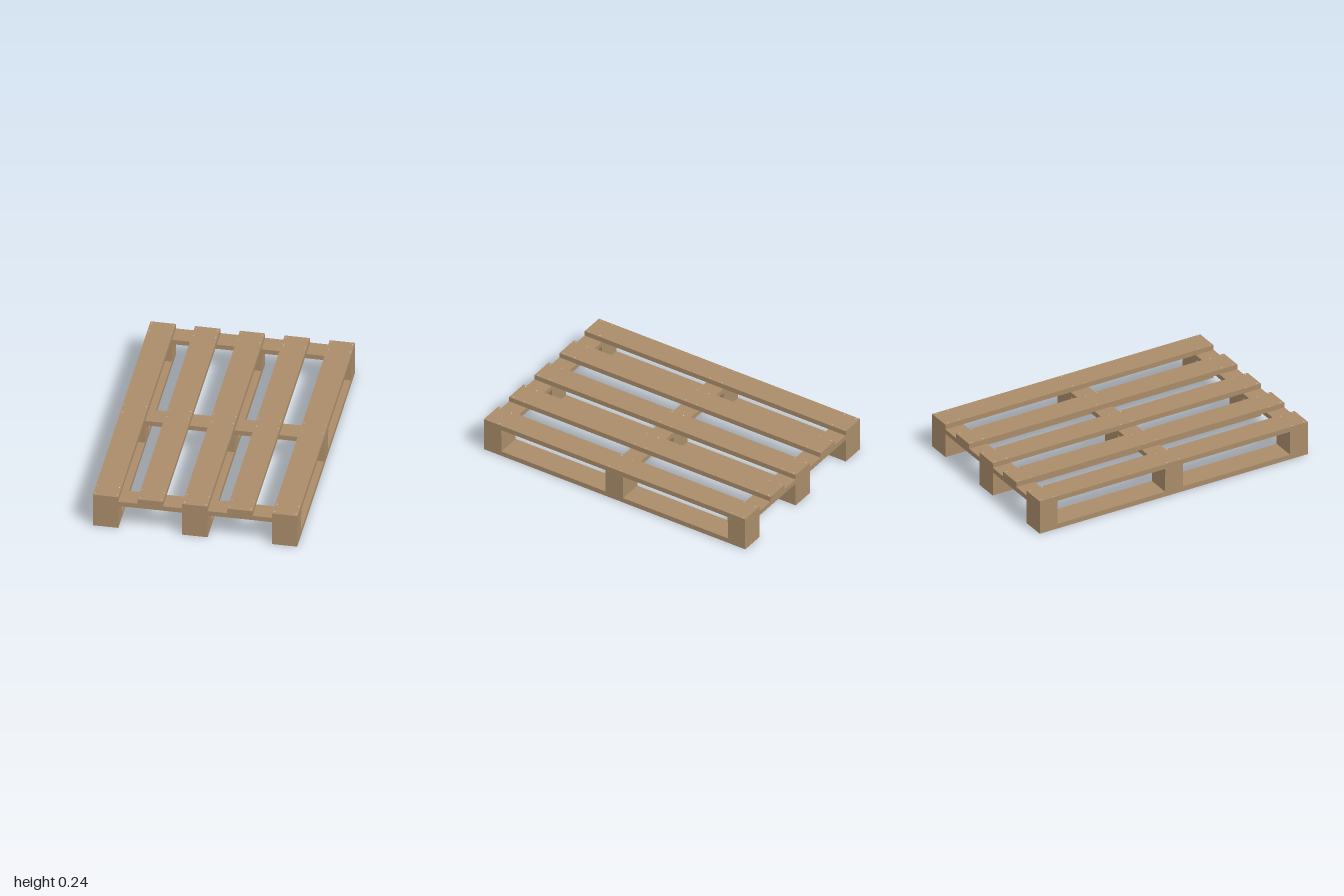
import * as THREE from 'three';

export function createModel() {
  const group = new THREE.Group();
  const wood = new THREE.MeshStandardMaterial({ color: 0xa98c69 });
  const steel = new THREE.MeshStandardMaterial({ color: 0xcccccc });

  // Board spanning y0..y1, centred on x and z
  function board(name, w, y0, y1, d, x, z) {
    const mesh = new THREE.Mesh(new THREE.BoxGeometry(w, y1 - y0, d), wood);
    mesh.name = name;
    mesh.position.set(x, (y0 + y1) / 2, z);
    group.add(mesh);
  }

  const plankWidth = 0.165, barDepth = 0.133;
  const deckX = [-0.582, -0.292, -0.002, 0.289, 0.582];
  const runnerX = [-0.582, -0.002, 0.58];
  const barZ = [-0.9335, 0.002, 0.9335];

  // Long deck planks and bottom runners
  for (const x of deckX) board('deckPlank', plankWidth, 0.202, 0.236, 2, x, 0);
  for (const x of runnerX) board('bottomRunner', plankWidth, 0, 0.034, 2, x, 0);

  // Cross bars with the spacer blocks beneath them
  for (const z of barZ) {
    board('crossBar', 1.33, 0.169, 0.202, barDepth, 0, z);
    for (const x of runnerX) board('spacerBlock', plankWidth, 0.034, 0.169, barDepth, x, z);
  }

  // Four nail heads at every crossing of deck plank and cross bar
  const nailGeometry = new THREE.CylinderGeometry(0.004, 0.004, 0.003, 8);
  for (const x of deckX) for (const z of barZ) {
    for (const dx of [-0.07, 0.07]) for (const dz of [-0.043, 0.043]) {
      const nail = new THREE.Mesh(nailGeometry, steel);
      nail.name = 'nailHead';
      nail.position.set(x + dx, 0.2355, z + dz);
      group.add(nail);
    }
  }
  return group;
}
